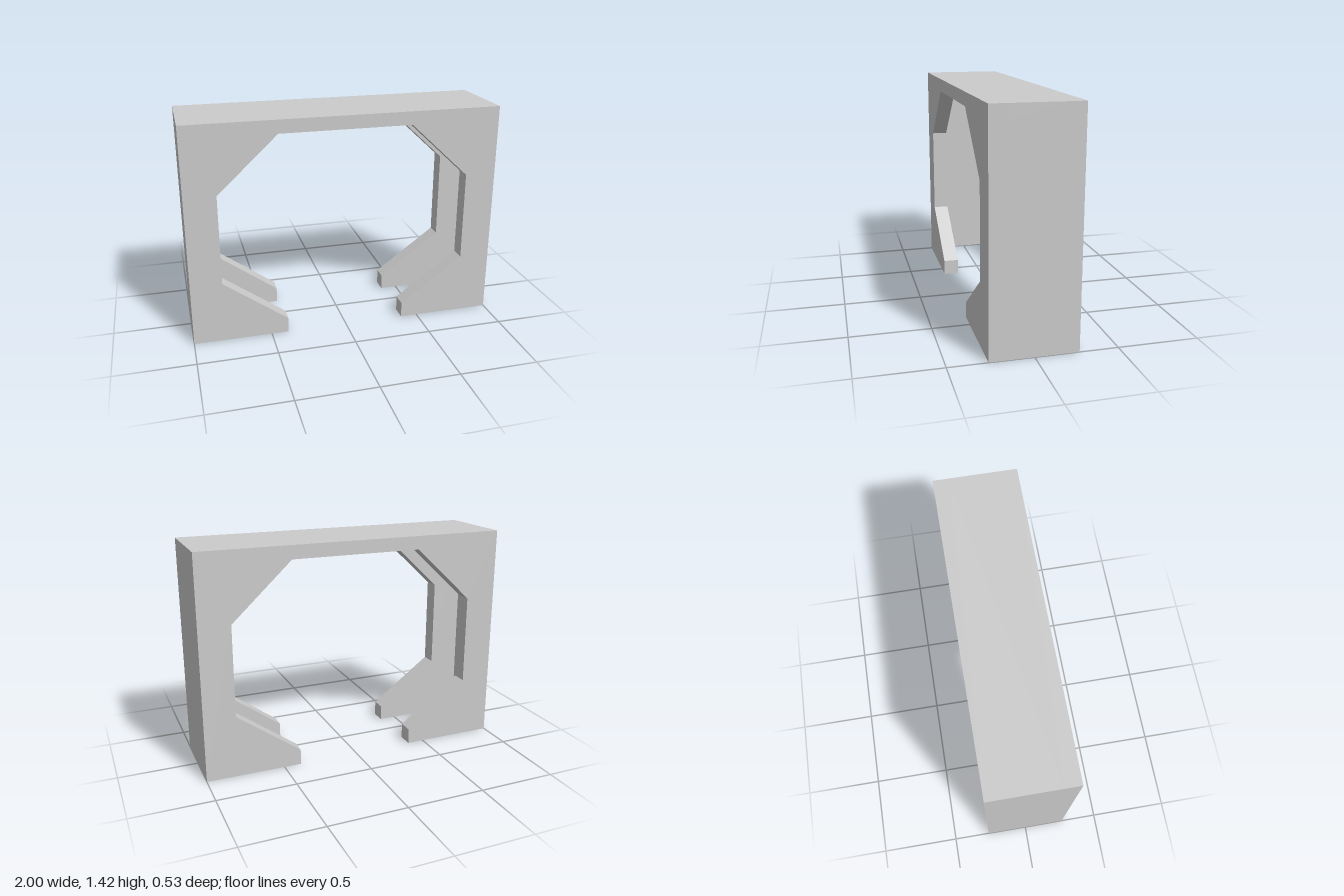
import * as THREE from 'three';

const H = 1.42, DEPTH = 0.53, PLATE = 0.1, CEILING = 1.335;
const GAP = DEPTH - 2 * PLATE; // hollow between the two plates

export function createModel() {
  const group = new THREE.Group();
  const material = new THREE.MeshStandardMaterial({ color: 0xcccccc, flatShading: true });
  const thinMaterial = material.clone();
  thinMaterial.side = THREE.DoubleSide;

  const add = (name, geometry, mat, x, y, z) => {
    const mesh = new THREE.Mesh(geometry, mat);
    mesh.name = name;
    mesh.position.set(x, y, z);
    group.add(mesh);
    return mesh;
  };

  // Arch outline: right half of the opening, mirrored, then round the outside
  const half = [[0.39, 0], [0.39, 0.1], [0.8, 0.4], [0.8, 0.98], [0.42, CEILING]];
  const mirrored = half.map(([x, y]) => [-x, y]).reverse();
  const outline = [...half, ...mirrored, [-1, 0], [-1, H], [1, H], [1, 0]];
  const arch = new THREE.Shape(outline.map(([x, y]) => new THREE.Vector2(x, y)));
  const plate = new THREE.ExtrudeGeometry(arch, { depth: PLATE, bevelEnabled: false });

  // Front and back plates
  add('frontPlate', plate, material, 0, 0, GAP / 2);
  add('backPlate', plate, material, 0, 0, -DEPTH / 2);

  // Roof slab between the plates
  add('roof', new THREE.BoxGeometry(2, H - CEILING, GAP), material, 0, (H + CEILING) / 2, 0);

  // Thin outer walls closing the sides; the underside stays open
  for (const [name, side] of [['leftWall', 1], ['rightWall', -1]]) {
    const wall = add(name, new THREE.PlaneGeometry(GAP, CEILING), thinMaterial, side, CEILING / 2, 0);
    wall.rotation.y = side * Math.PI / 2;
  }

  return group;
}
